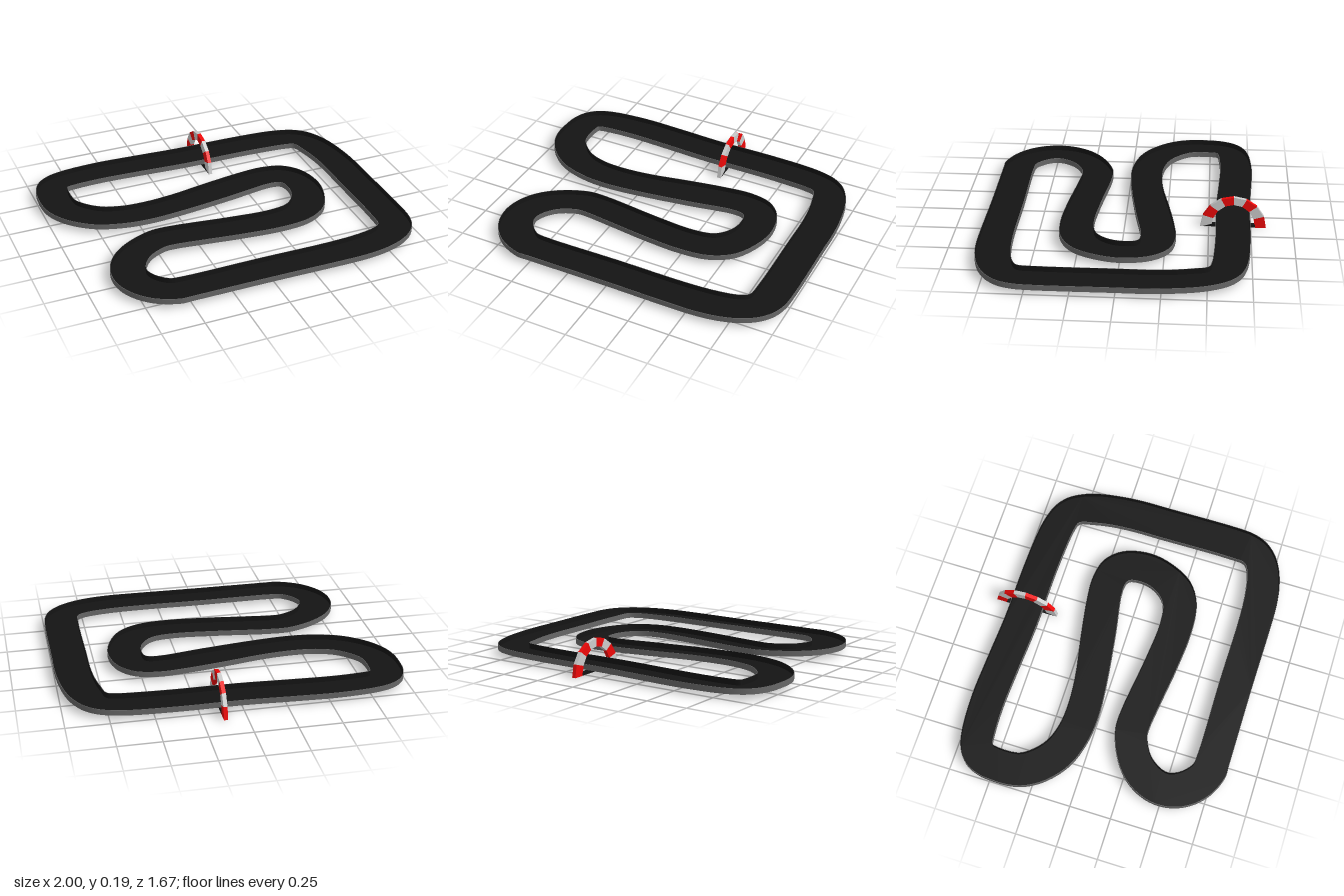
import * as THREE from 'three';

const FLOOR = 0.029, RIM = 0.062, WALL = 0.003;

// Edge outlines of the road as x, z pairs, both running the same way round
const OUTER = [
  0, -0.745, -0.3, -0.76, -0.56, -0.768, -0.8, -0.745, -0.9, -0.705, -0.96, -0.645, -0.993, -0.56,
  -1, -0.5, -1, -0.385, -0.975, -0.285, -0.905, -0.175, -0.775, -0.07, -0.61, -0.015, -0.45, 0,
  -0.24, -0.015, 0.1, -0.062, 0.39, -0.107, 0.45, -0.09, 0.465, -0.02, 0.445, 0.07, 0.375, 0.15,
  0.24, 0.175, 0, 0.158, -0.4, 0.112, -0.505, 0.12, -0.665, 0.19, -0.77, 0.28, -0.83, 0.385,
  -0.85, 0.495, -0.83, 0.605, -0.775, 0.7, -0.69, 0.775, -0.57, 0.824, -0.5, 0.825, 0, 0.825,
  0.4, 0.83, 0.56, 0.828, 0.69, 0.812, 0.81, 0.775, 0.9, 0.72, 0.96, 0.65, 0.99, 0.57,
  1, 0.48, 1, 0, 1, -0.16, 0.99, -0.3, 0.965, -0.45, 0.93, -0.55, 0.88, -0.63,
  0.81, -0.685, 0.73, -0.714, 0.62, -0.733, 0.35, -0.745,
];
const INNER = [
  0, -0.54, -0.3, -0.555, -0.56, -0.565, -0.72, -0.558, -0.79, -0.547, -0.797, -0.535, -0.797, -0.39,
  -0.76, -0.325, -0.675, -0.25, -0.56, -0.21, -0.425, -0.2, -0.24, -0.215, 0, -0.26, 0.245, -0.3,
  0.405, -0.312, 0.54, -0.28, 0.63, -0.185, 0.667, -0.04, 0.65, 0.1, 0.565, 0.27, 0.43, 0.355,
  0.245, 0.377, 0, 0.36, -0.24, 0.33, -0.425, 0.31, -0.475, 0.315, -0.585, 0.375, -0.645, 0.48,
  -0.625, 0.55, -0.56, 0.615, -0.52, 0.625, 0, 0.625, 0.43, 0.628, 0.62, 0.615, 0.735, 0.59,
  0.78, 0.56, 0.79, 0.48, 0.79, 0, 0.79, -0.17, 0.78, -0.31, 0.76, -0.42, 0.735, -0.505,
  0.68, -0.522, 0.565, -0.532, 0.35, -0.54,
];

// Smooth closed loop through the pairs, as Vector2(x, z)
function outline(pairs) {
  const pts = [];
  for (let i = 0; i < pairs.length; i += 2) pts.push(new THREE.Vector3(pairs[i], 0, pairs[i + 1]));
  const curve = new THREE.CatmullRomCurve3(pts, true, 'centripetal');
  return curve.getPoints(pts.length * 4).slice(0, -1).map((p) => new THREE.Vector2(p.x, p.z));
}

// The loop moved sideways by d (positive moves towards its inside)
function offset(loop, d) {
  const n = loop.length;
  return loop.map((p, i) => {
    const t = loop[(i + 1) % n].clone().sub(loop[(i + n - 1) % n]).normalize();
    return new THREE.Vector2(p.x + t.y * d, p.y - t.x * d);
  });
}

// Closed strip from loop a at height ya to loop b at height yb
function strip(a, ya, b, yb) {
  const pos = [], idx = [], n = a.length;
  a.forEach((p, i) => {
    pos.push(p.x, ya, p.y, b[i].x, yb, b[i].y);
    const j = 2 * i, k = 2 * ((i + 1) % n);
    idx.push(j, k, j + 1, k, k + 1, j + 1);
  });
  const geo = new THREE.BufferGeometry();
  geo.setAttribute('position', new THREE.Float32BufferAttribute(pos, 3));
  geo.setIndex(idx);
  geo.computeVertexNormals();
  return geo;
}

export function createModel() {
  const group = new THREE.Group();
  const add = (parent, name, geo, mat) => {
    const mesh = new THREE.Mesh(geo, mat);
    mesh.name = name;
    parent.add(mesh);
  };
  const paint = (color) => new THREE.MeshStandardMaterial({ color, side: THREE.DoubleSide });
  const asphalt = paint(0x141414), concrete = paint(0x666666);
  const red = paint(0xee0808), white = paint(0xcccccc);

  // Road: flat floor with a thin wall along both edges
  const track = new THREE.Group();
  track.name = 'track';
  group.add(track);
  const outer = outline(OUTER), inner = outline(INNER);
  const shape = new THREE.Shape(outer);
  shape.holes.push(new THREE.Path(inner));
  const floor = new THREE.ShapeGeometry(shape);
  floor.rotateX(Math.PI / 2);
  floor.translate(0, FLOOR, 0);
  add(track, 'roadFloor', floor, asphalt);

  // Walls: grey outside and rim, dark on the road side
  const outerIn = offset(outer, WALL), innerOut = offset(inner, -WALL);
  add(track, 'outerWall', strip(outer, FLOOR, outer, RIM), concrete);
  add(track, 'outerRim', strip(outer, RIM, outerIn, RIM), concrete);
  add(track, 'outerWallRoadSide', strip(outerIn, RIM, outerIn, FLOOR), asphalt);
  add(track, 'innerWall', strip(inner, RIM, inner, FLOOR), concrete);
  add(track, 'innerRim', strip(innerOut, RIM, inner, RIM), concrete);
  add(track, 'innerWallRoadSide', strip(innerOut, FLOOR, innerOut, RIM), asphalt);

  // Striped start arch spanning the road, thicker towards its feet
  const arch = new THREE.Group();
  arch.name = 'startArch';
  arch.position.set(0.111, 0, -0.645);
  group.add(arch);
  const extrudeAlongX = (points, depth) => {
    const geo = new THREE.ExtrudeGeometry(new THREE.Shape(points), { depth, bevelEnabled: false });
    return geo.rotateY(Math.PI / 2);
  };
  const polar = (rx, ry, a) => new THREE.Vector2(rx * Math.cos(a), ry * Math.sin(a));
  const outside = (a) => polar(0.195, 0.195, a), inside = (a) => polar(0.13, 0.147, a);
  const count = 8;
  for (let i = 0; i < count; i++) {
    const a = (i / count) * Math.PI, b = ((i + 1) / count) * Math.PI;
    const points = [inside(a), outside(a), outside(b), inside(b)];
    add(arch, 'archSegment' + (i + 1), extrudeAlongX(points, 0.023), i % 2 ? white : red);
  }

  // Dark sill joining the feet under the road
  const sill = [[-0.18, 0.002], [0.13, 0.002], [0.13, 0.019], [-0.125, 0.019]]
    .map(([u, v]) => new THREE.Vector2(u, v));
  const sillGeo = extrudeAlongX(sill, 0.025);
  sillGeo.translate(-0.001, 0, 0);
  add(arch, 'archSill', sillGeo, asphalt);

  return group;
}
